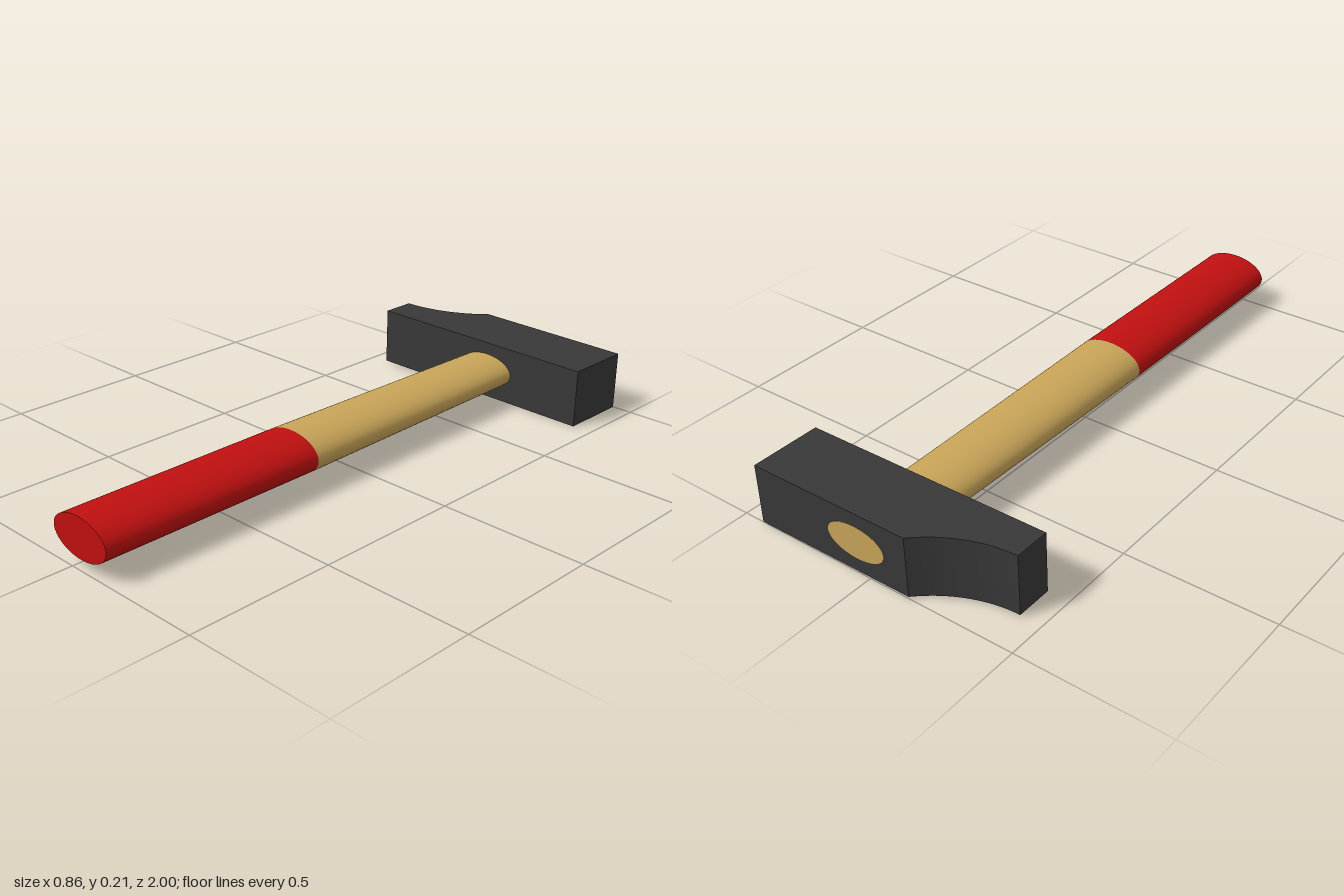
import * as THREE from 'three';
import { toCreasedNormals } from 'three/addons/utils/BufferGeometryUtils.js';

const material = (color) => new THREE.MeshStandardMaterial({ color });

// Tapered oval bar along z, from zBack to zFront; radii are [rx, ry]
function ovalBar(name, zBack, zFront, backR, frontR, mat) {
  const length = zFront - zBack;
  const geo = new THREE.CylinderGeometry(1, 1, length, 64);
  geo.rotateX(Math.PI / 2);
  const p = geo.attributes.position;
  const n = geo.attributes.normal;
  const normal = new THREE.Vector3();
  for (let i = 0; i < p.count; i++) {
    const [rx, ry] = p.getZ(i) > 0 ? frontR : backR;
    p.setXY(i, p.getX(i) * rx, p.getY(i) * ry);
    normal.set(n.getX(i) / rx, n.getY(i) / ry, n.getZ(i)).normalize();
    n.setXYZ(i, normal.x, normal.y, normal.z);
  }
  const mesh = new THREE.Mesh(geo, mat);
  mesh.name = name;
  mesh.position.set(0.045, 0.104, (zBack + zFront) / 2);
  return mesh;
}

export function createModel() {
  const group = new THREE.Group();
  group.name = 'hammer';

  // Head: plan outline with a concave scoop towards the thin peen
  const outline = new THREE.Shape();
  outline.moveTo(-0.43, 0.76);
  outline.lineTo(0.43, 0.76);
  outline.lineTo(0.43, 0.999);
  outline.lineTo(-0.14, 0.999);
  const radius = 0.413;
  const endAngle = Math.atan2(0.999 - 0.88 - radius, 0.29);
  outline.absarc(-0.43, 0.88 + radius, radius, endAngle, -Math.PI / 2, true);
  outline.closePath();
  const headGeo = new THREE.ExtrudeGeometry(outline, { depth: 0.2, bevelEnabled: false, curveSegments: 20 });
  headGeo.translate(0, 0, -0.1);
  headGeo.rotateX(-Math.PI / 2);
  const head = new THREE.Mesh(toCreasedNormals(headGeo, 0.35), material(0x383838));
  head.name = 'head';
  head.position.y = 0.1035;
  head.rotation.z = -0.008;
  group.add(head);

  // Handle: tapered wood through the head, with a painted grip
  const gripRadii = [0.119, 0.067];
  group.add(
    ovalBar('woodenHandle', -1, 0.2, [0.105, 0.055], gripRadii, material(0xc8a458)),
    ovalBar('grip', 0.2, 1, gripRadii, gripRadii, material(0xc01010)),
  );
  return group;
}
